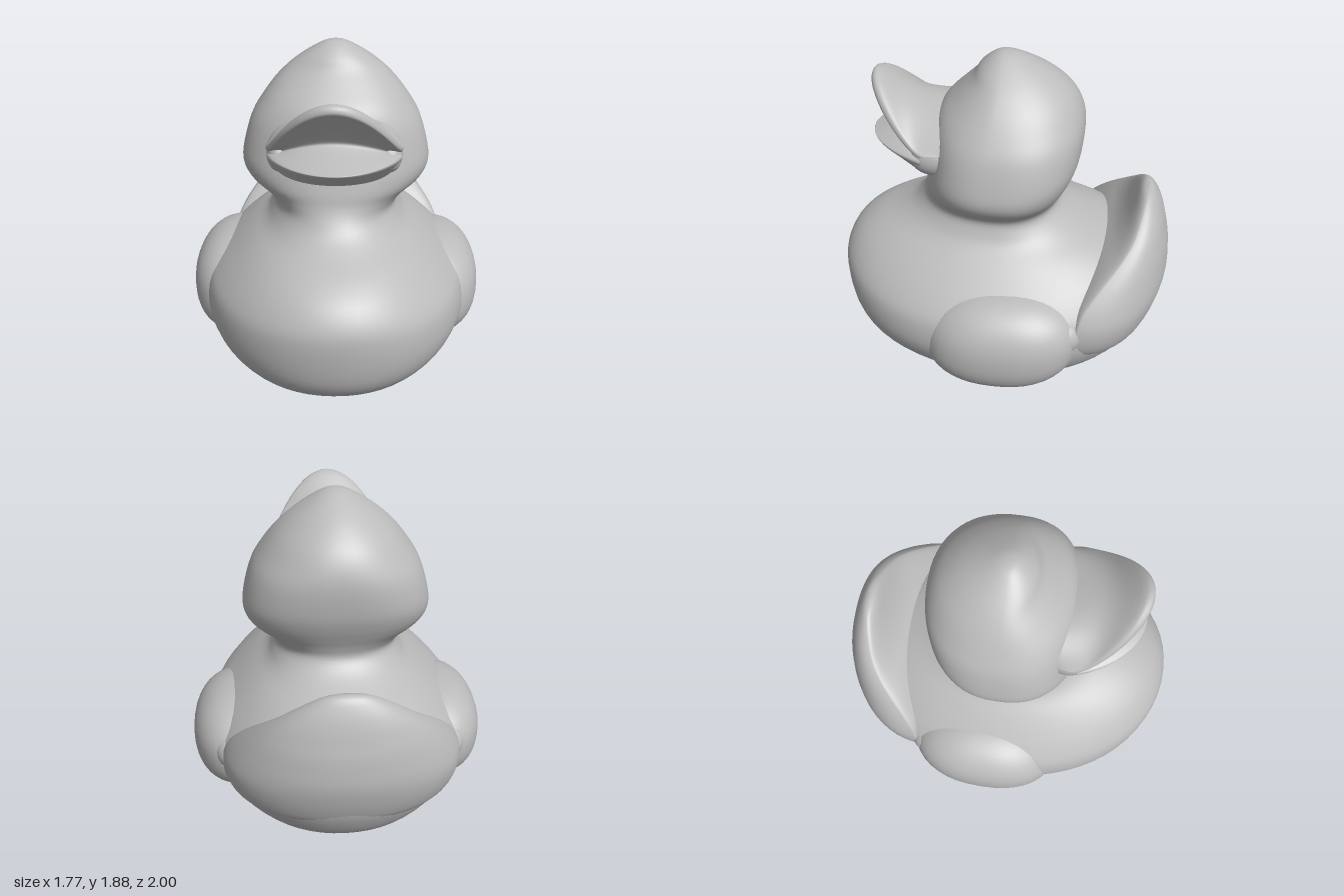
import * as THREE from 'three';
import { mergeVertices } from 'three/addons/utils/BufferGeometryUtils.js';

// Smooth surface from a rule fn(u, v) -> [x, y, z], u and v in 0..1
function surface(nu, nv, fn) {
  const pos = [], index = [];
  for (let j = 0; j <= nv; j++)
    for (let i = 0; i <= nu; i++) pos.push(...fn(i / nu, j / nv));
  for (let j = 0; j < nv; j++)
    for (let i = 0; i < nu; i++) {
      const a = j * (nu + 1) + i, b = a + 1, c = a + nu + 1, d = c + 1;
      index.push(a, b, d, a, d, c);
    }
  let g = new THREE.BufferGeometry();
  g.setAttribute('position', new THREE.Float32BufferAttribute(pos, 3));
  g.setIndex(index);
  g = mergeVertices(g, 1e-4);
  g.computeVertexNormals();
  return g;
}

const spow = (t, e) => Math.sign(t) * Math.pow(Math.abs(t), e);
const spline = (pts) => new THREE.CatmullRomCurve3(pts.map((p) => new THREE.Vector3(...p)), false, 'catmullrom', 0.5);

// Stack of horizontal rings: [y, half width, front z, back z, squareness, z of the widest point]
function loft(rows, nv) {
  const size = spline(rows.map((r) => [r[0], r[1], r[5] ?? 0]));
  const depth = spline(rows.map((r) => [r[2], r[3], r[4] ?? 2.1]));
  return surface(64, nv, (u, v) => {
    const s = size.getPoint(v), d = depth.getPoint(v), a = u * Math.PI * 2 - Math.PI;
    const e = 2 / d.z, c = spow(Math.cos(a), e);
    const x = Math.max(s.y, 0) * spow(Math.sin(a), e);
    const z = s.z + (c > 0 ? d.x - s.z : s.z - d.y) * c;
    return [x, Math.max(s.x, 0), z];
  });
}

export function createModel() {
  const duck = new THREE.Group();
  duck.name = 'rubberDuck';
  const grey = new THREE.MeshStandardMaterial({ color: 0xbcbcbc, side: THREE.DoubleSide });
  grey.name = 'plain grey';
  const add = (name, geometry) => {
    const mesh = new THREE.Mesh(geometry, grey);
    mesh.name = name;
    duck.add(mesh);
    return mesh;
  };

  // Body, neck and head in one smooth skin, with a small peak at the crown
  add('bodyAndHead', loft([
    [0, 0, 0, 0],
    [0, 0.25, 0.3, -0.3],
    [0, 0.45, 0.55, -0.54],
    [0.02, 0.54, 0.68, -0.66],
    [0.06, 0.62, 0.79, -0.75],
    [0.12, 0.68, 0.88, -0.82],
    [0.22, 0.75, 0.95, -0.885],
    [0.35, 0.79, 0.985, -0.94],
    [0.5, 0.77, 1.0, -0.96],
    [0.6, 0.7, 0.985, -0.93],
    [0.7, 0.6, 0.92, -0.84],
    [0.78, 0.51, 0.81, -0.7],
    [0.85, 0.425, 0.66, -0.52],
    [0.91, 0.385, 0.56, -0.4],
    [0.98, 0.365, 0.5, -0.335],
    [1.05, 0.415, 0.465, -0.345, 2.2],
    [1.12, 0.5, 0.45, -0.375, 2.3],
    [1.2, 0.54, 0.43, -0.41, 2.4],
    [1.3, 0.53, 0.405, -0.44, 2.5],
    [1.45, 0.485, 0.385, -0.455, 2.4],
    [1.56, 0.42, 0.355, -0.44, 2.2],
    [1.66, 0.345, 0.26, -0.39, 2.1],
    [1.74, 0.265, 0.18, -0.31, 2],
    [1.8, 0.185, 0.14, -0.22, 2],
    [1.85, 0.105, 0.085, -0.12, 2],
    [1.875, 0.05, 0.04, -0.055, 2],
    [1.882, 0, 0, 0, 2],
  ], 96));

  // Upturned tail: flat in front, rounded behind, overhanging the body's flanks
  add('tail', loft([
    [0.2, 0.5, -0.42, -0.8, 2.1, -0.45],
    [0.28, 0.63, -0.42, -0.9, 2.1, -0.46],
    [0.38, 0.68, -0.42, -0.95, 2.1, -0.47],
    [0.5, 0.68, -0.43, -0.985, 2.1, -0.5],
    [0.6, 0.64, -0.45, -1.0, 2.1, -0.53],
    [0.7, 0.57, -0.52, -0.995, 2.1, -0.6],
    [0.78, 0.5, -0.59, -0.985, 2.1, -0.67],
    [0.85, 0.43, -0.665, -0.968, 2.1, -0.73],
    [0.92, 0.35, -0.72, -0.95, 2.1, -0.78],
    [0.99, 0.26, -0.76, -0.925, 2.1, -0.81],
    [1.05, 0.165, -0.79, -0.895, 2, -0.83],
    [1.08, 0.09, -0.815, -0.87, 2, -0.84],
    [1.09, 0, -0.845, -0.845, 2, -0.845],
  ], 44));

  // Beak: one open-mouthed shell, its profile swept from side to side
  add('beak', surface(40, 56, (u, v) => {
    const a = (u - 0.5) * Math.PI, s = Math.sin(a), c = Math.cos(a);
    const c2 = c * c, out = Math.pow(Math.max(c, 0), 1.5);
    const p = spline([
      [0.3 * s, 1.25 - 0.07 * c, 0.25 + 0.12 * c],        // under the chin
      [0.32 * s, 1.27 - 0.06 * c, 0.36 + 0.14 * c],
      [0.355 * s, 1.32 + 0.01 * c, 0.41 + 0.29 * out],    // lower lip
      [0.365 * s, 1.35 + 0.02 * c, 0.42 + 0.34 * out],
      [0.35 * s, 1.37 + 0.015 * c, 0.42 + 0.31 * out],
      [0.3 * s, 1.385 + 0.055 * c2, 0.43 + 0.12 * c],     // inside the mouth
      [0.3 * s, 1.39 + 0.1 * c2, 0.43 + 0.11 * c],
      [0.34 * s, 1.375 + 0.27 * c2, 0.42 + 0.27 * out],   // upper lip
      [0.36 * s, 1.38 + 0.32 * c2, 0.42 + 0.33 * out],
      [0.37 * s, 1.39 + 0.345 * c2, 0.41 + 0.295 * out],
      [0.37 * s, 1.4 + 0.22 * c2, 0.36 + 0.18 * c],       // bridge
      [0.35 * s, 1.4 + 0.16 * c, 0.25 + 0.1 * c],
    ]).getPoint(v);
    return [p.x, p.y, p.z];
  }));

  // Wings: full, slightly squared pads leaning back, with a raised rear tip
  const wing = () => surface(40, 28, (u, v) => {
    const a = u * Math.PI * 2 - Math.PI, b = (v - 0.5) * Math.PI, e = 0.88;
    const r = spow(Math.cos(b), e), y = 0.31 * spow(Math.sin(b), e);
    return [0.305 * r * spow(Math.sin(a), e), y, 0.45 * r * spow(Math.cos(a), e) - 0.1 * y];
  });
  const ball = (name, scale, position) => {
    const mesh = add(name, new THREE.SphereGeometry(1, 24, 16));
    mesh.scale.set(...scale);
    mesh.position.set(...position);
  };
  for (const [side, k] of [['left', 1], ['right', -1]]) {
    add(side + 'Wing', wing()).position.set(0.58 * k, 0.37, -0.06);
    ball(side + 'WingTip', [0.11, 0.12, 0.13], [0.63 * k, 0.44, -0.4]);
    // Cheek closing the corner of the mouth
    ball(side + 'MouthCorner', [0.075, 0.1, 0.13], [0.295 * k, 1.345, 0.36]);
  }
  return duck;
}
